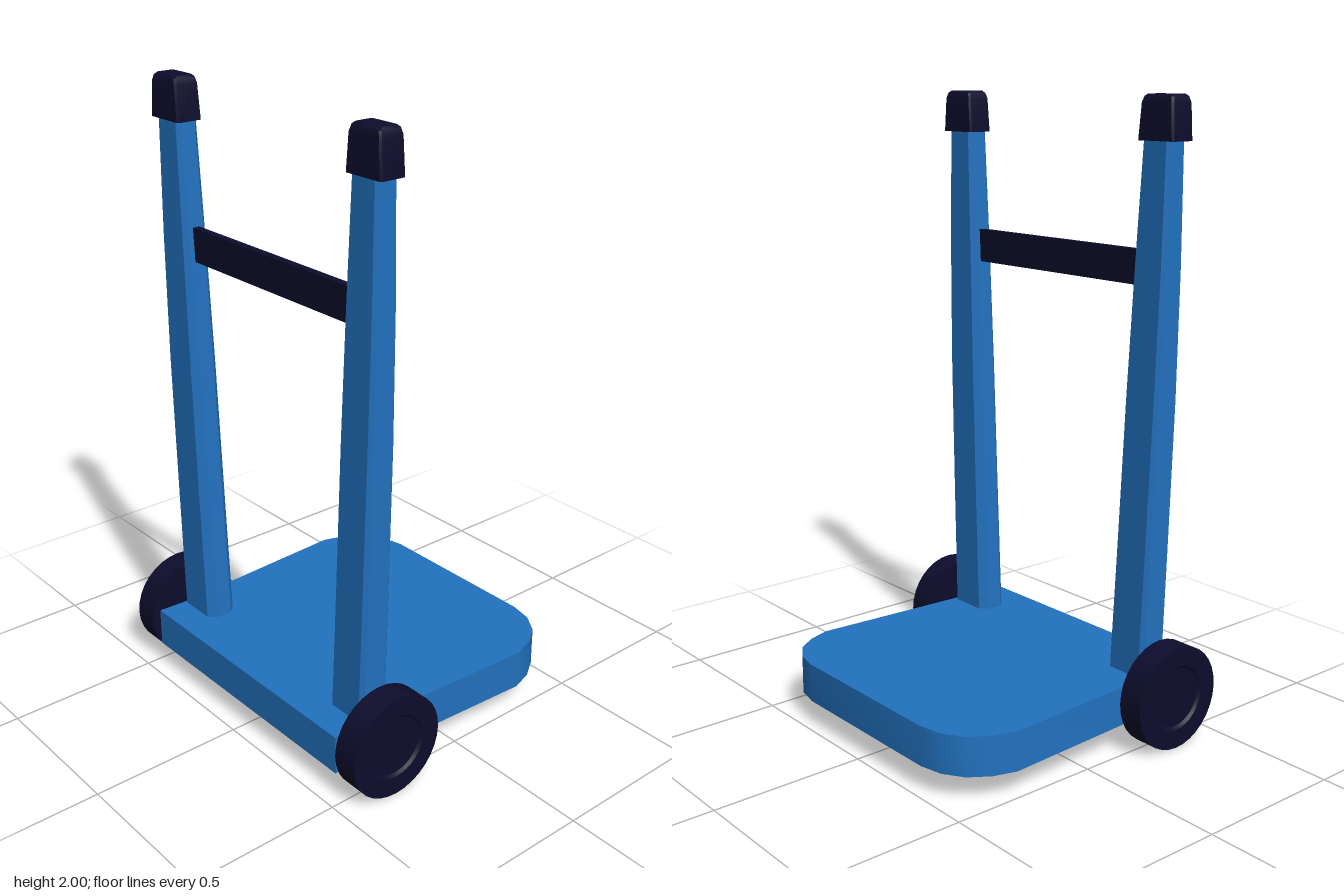
import * as THREE from 'three';
import { toCreasedNormals } from 'three/addons/utils/BufferGeometryUtils.js';

const blue = new THREE.MeshStandardMaterial({ color: 0x2272c0 });
blue.name = 'blue';
const navy = new THREE.MeshStandardMaterial({ color: 0x0d0c2c });
navy.name = 'navy';

const POST_X = -0.308;

function addMesh(parent, name, geometry, material) {
  const mesh = new THREE.Mesh(toCreasedNormals(geometry, 0.6), material);
  mesh.name = name;
  parent.add(mesh);
  return mesh;
}

// Closed solid from rings of equal point count, listed bottom to top,
// each ring counter-clockwise when seen from above.
function loft(rings) {
  const n = rings[0].length;
  const index = [];
  for (let r = 0; r < rings.length - 1; r++) {
    for (let i = 0; i < n; i++) {
      const a = r * n + i, b = r * n + (i + 1) % n;
      index.push(a, b, b + n, a, b + n, a + n);
    }
  }
  const top = (rings.length - 1) * n;
  for (let i = 1; i < n - 1; i++) {
    index.push(0, i + 1, i, top, top + i, top + i + 1);
  }
  const g = new THREE.BufferGeometry();
  g.setAttribute('position', new THREE.Float32BufferAttribute(rings.flat(2), 3));
  g.setIndex(index);
  return g;
}

// Chamfered rectangle: half width h, from z0 (inner) to z1 (outer)
function ring(y, h, z0, z1, cIn, cOut) {
  return [
    [h, y, z0 + cIn], [h - cIn, y, z0], [-h + cIn, y, z0], [-h, y, z0 + cIn],
    [-h, y, z1 - cOut], [-h + cOut, y, z1], [h - cOut, y, z1], [h, y, z1 - cOut],
  ].map(([x, yy, z]) => [x + POST_X, yy, z]);
}

// Mirrors across the z = 0 plane by reversing each ring
const mirrorRings = (rings) =>
  rings.map((r) => r.map(([x, y, z]) => [x, y, -z]).reverse());

export function createModel() {
  const model = new THREE.Group();
  model.name = 'handTruck';

  // Load platform: straight back edge, rounded front corners
  const half = [[-0.46, 0.467], [-0.36, 0.462], [0.28, 0.497], [0.355, 0.473],
    [0.418, 0.43], [0.46, 0.366], [0.476, 0.29]];
  const outline = [...half.map(([x, z]) => [x, -z]),
    ...half.slice().reverse()].map(([x, z]) => new THREE.Vector2(x, z));
  const deck = new THREE.ExtrudeGeometry(new THREE.Shape(outline),
    { depth: 0.127, bevelEnabled: false });
  deck.rotateX(-Math.PI / 2).translate(0, 0.083, 0);
  addMesh(model, 'platform', deck, blue);

  // Tapering, slightly curved posts
  const post = [
    ring(0.15, 0.052, 0.302, 0.463, 0.026, 0.012),
    ring(0.6, 0.05, 0.325, 0.479, 0.024, 0.012),
    ring(1.1, 0.047, 0.35, 0.495, 0.02, 0.011),
    ring(1.5, 0.042, 0.372, 0.503, 0.016, 0.01),
    ring(1.9, 0.036, 0.396, 0.505, 0.012, 0.01),
  ];
  // Grip caps with softened tops
  const cap = [
    ring(1.867, 0.043, 0.383, 0.527, 0.006, 0.006),
    ring(1.975, 0.041, 0.392, 0.521, 0.006, 0.006),
    ring(1.993, 0.037, 0.398, 0.515, 0.006, 0.006),
    ring(2.0, 0.03, 0.406, 0.507, 0.006, 0.006),
  ];

  // Wheel: thick disc with a shallow recessed hub
  const profile = [[0, 0], [0.167, 0], [0.167, 0.084], [0.105, 0.084],
    [0.096, 0.076], [0, 0.076]].map(([r, y]) => new THREE.Vector2(r, y));

  for (const side of [1, -1]) {
    const label = side > 0 ? 'front' : 'back';
    const place = (rings) => loft(side > 0 ? rings : mirrorRings(rings));
    addMesh(model, label + 'Post', place(post), blue);
    addMesh(model, label + 'Grip', place(cap), navy);
    const wheel = new THREE.LatheGeometry(profile, 32);
    wheel.rotateX(side * Math.PI / 2).translate(-0.312, 0.167, side * 0.489);
    addMesh(model, label + 'Wheel', wheel, navy);
  }

  // Flat crossbar between the posts
  const bar = new THREE.BoxGeometry(0.024, 0.107, 0.75);
  bar.translate(POST_X, 1.492, 0);
  addMesh(model, 'crossbar', bar, navy);

  return model;
}
